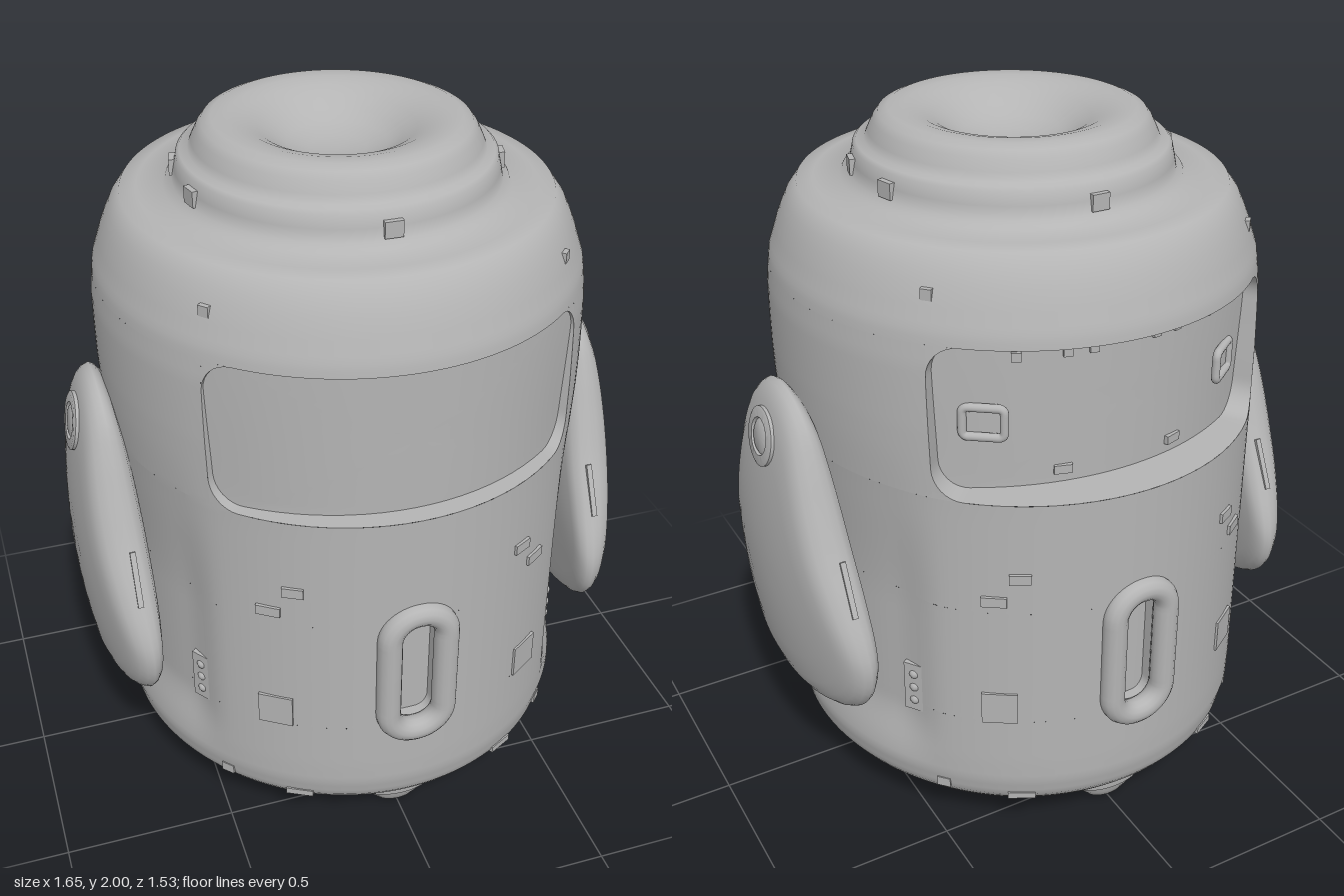
import * as THREE from 'three';
import { mergeGeometries, toCreasedNormals } from 'three/addons/utils/BufferGeometryUtils.js';

const { smoothstep, lerp } = THREE.MathUtils;
const PI = Math.PI;

// hull profile: [radius, height]
const PROFILE = [[0.65, 0.11], [0.69, 0.135], [0.715, 0.17], [0.728, 0.23], [0.73, 0.3], [0.73, 1.16],
  [0.722, 1.35], [0.71, 1.53], [0.698, 1.62], [0.67, 1.7], [0.64, 1.765], [0.607, 1.81]];
// shoulder, collar and dished lid: [radius, height]
const COLLAR = [[0.67, 1.7], [0.656, 1.733], [0.64, 1.765], [0.607, 1.81], [0.56, 1.816], [0.485, 1.82],
  [0.478, 1.83], [0.46, 1.836], [0.453, 1.87], [0.445, 1.905], [0.435, 1.914], [0.412, 1.918], [0.402, 1.94],
  [0.387, 1.97], [0.372, 1.989], [0.345, 2], [0.3, 1.998], [0.26, 1.988], [0.22, 1.97], [0.18, 1.944],
  [0.14, 1.922], [0.08, 1.905], [0, 1.9]];

function radius(t, y) {
  let i = 1;
  while (i < PROFILE.length - 1 && y > PROFILE[i][1]) i++;
  const [r0, y0] = PROFILE[i - 1], [r1, y1] = PROFILE[i];
  const r = lerp(r0, r1, (y - y0) / (y1 - y0));
  // gently hollowed flanks behind the side pods
  const flank = smoothstep(Math.abs(Math.sin(t)), 0.72, 0.86);
  return r - 0.035 * flank * smoothstep(y, 0.22, 0.42) * (1 - smoothstep(y, 0.75, 1.3));
}

// point on the hull; t = 0 faces the front
function skin(t, y, r = radius(t, y)) {
  const k = lerp(0.947, 0.98, smoothstep(y, 1.1, 1.6));
  return [r * Math.sin(t) * k, y, r * Math.cos(t)];
}

// quad grid from a point function of (column, row)
function grid(nu, nv, fn) {
  const pos = [], idx = [];
  for (let j = 0; j <= nv; j++) for (let i = 0; i <= nu; i++) pos.push(...fn(i, j));
  for (let j = 0; j < nv; j++) for (let i = 0; i < nu; i++) {
    const a = j * (nu + 1) + i, b = a + nu + 1;
    idx.push(a, a + 1, b + 1, a, b + 1, b);
  }
  const g = new THREE.BufferGeometry();
  g.setAttribute('position', new THREE.Float32BufferAttribute(pos, 3));
  g.setIndex(idx);
  return g;
}

// hull band between two heights and two angles
function band(y0, y1, t0 = 0, t1 = 2 * PI) {
  const nu = Math.ceil((t1 - t0) * 24), nv = Math.ceil((y1 - y0) / 0.02);
  return grid(nu, nv, (i, j) => skin(lerp(t0, t1, i / nu), lerp(y0, y1, j / nv)));
}

// recess with rounded corners filling a rectangular gap in a band; floor(s) is its radius, s = 0 middle, 1 side
function recess(tc, half, y0, y1, corner, floor) {
  const w = half * 0.7, h = (y1 - y0) / 2, yc = (y0 + y1) / 2, pts = [];
  const cx = w - corner, cy = h - corner;
  [[cx, -cy], [cx, cy], [-cx, cy], [-cx, -cy]].forEach(([x, y], q) => {
    for (let k = 0; k <= 8; k++) {
      const a = (q - 1 + k / 8) * PI / 2, c = Math.cos(a), s = Math.sin(a);
      const m = Math.max(Math.abs(c), Math.abs(s));
      pts.push([x + corner * c, y + corner * s, x + corner * c / m, y + corner * s / m]);
    }
    const [dx, dy] = [[0, 2 * cy], [-2 * cx, 0], [0, -2 * cy], [2 * cx, 0]][q];
    const p = pts[pts.length - 1];
    for (let k = 1; k < 20; k++) {
      const x2 = p[0] + dx * k / 20, y2 = p[1] + dy * k / 20;
      pts.push([x2, y2, x2, y2]);
    }
  });
  const n = pts.length;
  return grid(n, 10, (i, j) => {
    const p = pts[i % n], s = j < 3 ? 1 : 1 - (j - 2) / 8;
    const x = (j ? p[0] : p[2]) * s, y = (j ? p[1] : p[3]) * s + yc;
    return j < 2 ? skin(tc + x / 0.7, y) : skin(tc + x / 0.7, y, floor(x / w));
  });
}

// rounded rectangular ring of round bar
function ring(w, h, r, bar) {
  const s = new THREE.Shape();
  s.moveTo(w, 0).lineTo(w, h - r).absarc(w - r, h - r, r, 0, PI / 2).absarc(r - w, h - r, r, PI / 2, PI);
  s.absarc(r - w, r - h, r, PI, 1.5 * PI).absarc(w - r, r - h, r, 1.5 * PI, 2 * PI).lineTo(w, 0);
  const pts = s.getSpacedPoints(56).slice(0, -1).map(p => new THREE.Vector3(p.x, p.y, 0));
  return new THREE.TubeGeometry(new THREE.CatmullRomCurve3(pts, true), 112, bar, 14, true);
}

function lathe(points, seg) {
  const g = new THREE.LatheGeometry(points.map(p => new THREE.Vector2(...p)), seg);
  return toCreasedNormals(g, 0.7);
}

// side pod: teardrop outline in (z, y), domed outwards toward +x
function podGeometry() {
  const half = [[0, 1.33], [0.09, 1.31], [0.16, 1.255], [0.205, 1.17], [0.25, 1.06], [0.305, 0.93], [0.375, 0.79],
    [0.425, 0.68], [0.44, 0.61], [0.42, 0.52], [0.34, 0.44], [0.2, 0.388], [0, 0.37]];
  const loop = [...half, ...half.slice(1, -1).reverse().map(([z, y]) => [-z, y])];
  const curve = new THREE.CatmullRomCurve3(loop.map(([z, y]) => new THREE.Vector3(0, y, z)), true);
  const pts = curve.getSpacedPoints(96);
  // rows: outline scale and share of thickness, from inner face round the rim to outer face
  const rows = [[0, 0], [0.5, 0], [0.85, 0], [0.95, 0.08], [0.985, 0.25], [1, 0.45], [0.985, 0.68],
    [0.95, 0.86], [0.9, 0.95], [0.82, 1], [0.65, 1], [0.5, 1], [0.35, 1], [0.2, 1], [0, 1]];
  return toCreasedNormals(grid(96, rows.length - 1, (i, j) => {
    const [s, h] = rows[j], p = pts[i];
    const y = lerp(0.8, p.y, s), z = p.z * s, d = (y - 0.8) ** 2;
    return [lerp(0.65 - 0.04 * z * z + 0.14 * d, 0.825 - 0.45 * z * z - 0.24 * d, h), y, z];
  }), 1);
}

export function createModel() {
  const model = new THREE.Group();
  const grey = new THREE.MeshStandardMaterial({ color: 0xb4b4b4 });
  const add = (name, geo, parent = model) => {
    const m = new THREE.Mesh(geo, grey);
    m.name = name;
    parent.add(m);
    return m;
  };
  // fix a small part to the hull
  const fix = (name, geo, t, y, r) => {
    const m = add(name, geo);
    m.position.set(...skin(t, y, r));
    m.rotation.y = t;
  };

  // hull with windows, handle pits, shoulder and lid
  const WIN = 0.83, PIT = 0.09, parts = [band(0.11, 0.45), band(0.82, 1.16), band(1.59, 1.7)];
  const rearFloor = s => 0.6 + 0.07 * s * s;
  for (const [y0, y1, half] of [[0.45, 0.82, PIT], [1.16, 1.59, WIN]])
    for (const c of [0, PI]) parts.push(band(y0, y1, c + half, c + PI - half));
  for (const c of [0, PI]) parts.push(recess(c, PIT, 0.45, 0.82, 0.04, () => 0.67));
  parts.push(recess(0, WIN, 1.16, 1.59, 0.085, s => 0.67 + 0.032 * s * s));
  parts.push(recess(PI, WIN, 1.16, 1.59, 0.085, rearFloor));
  const cols = Math.ceil(2 * PI * 24);
  parts.push(grid(cols, COLLAR.length - 1, (i, j) => skin(i / cols * 2 * PI, COLLAR[j][1], COLLAR[j][0])));
  add('hull', toCreasedNormals(mergeGeometries(parts), 1.2));

  // flat underside
  const underside = add('underside', new THREE.CircleGeometry(0.65, 96));
  underside.rotation.x = PI / 2;
  underside.position.y = 0.11;
  underside.scale.x = 0.947;

  // collar lugs
  for (const a of [0, PI / 2 - 0.25, PI / 2 + 0.25, PI, 1.5 * PI - 0.25, 1.5 * PI + 0.25]) {
    const lug = add('collarLug', new THREE.BoxGeometry(0.05, 0.045, 0.024));
    lug.position.set(0.444 * Math.sin(a), 1.865, 0.452 * Math.cos(a));
    lug.rotation.y = a;
  }

  for (const c of [0, PI]) {
    fix('handle', ring(0.083, 0.21, 0.08, 0.036), c, 0.635, 0.727);

    // foot
    const foot = add('foot', lathe([[0, 0], [0.03, 0.004], [0.06, 0.02], [0.085, 0.045], [0.098, 0.07],
      [0.118, 0.075], [0.125, 0.1], [0.125, 0.125]], 32));
    foot.scale.z = 0.55;
    foot.position.z = c ? -0.583 : 0.583;

    for (const s of [-1, 1]) {
      // hull fittings
      fix('lowerLatch', new THREE.BoxGeometry(0.1, 0.1, 0.012), c + s * 0.58, 0.5);
      fix('upperLatch', new THREE.BoxGeometry(0.06, 0.03, 0.016), c + s * 0.5, 0.935);
      fix('middleLatch', new THREE.BoxGeometry(0.07, 0.03, 0.016), c + s * 0.6, 0.86);
      fix('shoulderStud', new THREE.BoxGeometry(0.03, 0.03, 0.016), c + s * 0.84, 1.71);
      fix('baseStud', new THREE.BoxGeometry(0.04, 0.03, 0.012), c + s * 0.82, 0.19);
      fix('baseClip', new THREE.BoxGeometry(0.08, 0.02, 0.012), c + s * 0.49, 0.17);

      // vent with three beads
      fix('vent', new THREE.BoxGeometry(0.06, 0.16, 0.016), c + s * 0.95, 0.5);
      for (let k = -1; k <= 1; k++)
        fix('ventBead', new THREE.SphereGeometry(0.016, 10, 8), c + s * 0.95, 0.5 + k * 0.045);
    }
  }

  // instruments inside the rear window
  for (const s of [-1, 1]) {
    fix('rearFrame', ring(0.055, 0.042, 0.015, 0.012), PI + s * 0.64, 1.36, rearFloor(0.64 / WIN) + 0.008);
    for (const a of [0.16, 0.28, 0.5])
      fix('rearStud', new THREE.BoxGeometry(0.025, 0.025, 0.02), PI + s * a, 1.54, rearFloor(a / WIN));
    fix('rearClip', new THREE.BoxGeometry(0.05, 0.025, 0.02), PI + s * 0.3, 1.2, rearFloor(0.3 / WIN));
  }

  // side pods with hub discs and rim slots
  for (const s of [-1, 1]) {
    const pod = new THREE.Group();
    pod.name = s > 0 ? 'leftPod' : 'rightPod';
    add('podShell', podGeometry(), pod);
    const hub = add('podHub', lathe([[0.085, -0.03], [0.085, 0.003], [0.077, 0.007], [0.054, 0.007],
      [0.05, 0], [0.042, 0.005], [0, 0.006]], 40), pod);
    hub.rotation.z = -PI / 2 + 0.18;
    hub.position.set(0.793, 1.18, 0);
    for (const z of [-1, 1]) {
      const slot = add('podSlot', new THREE.BoxGeometry(0.016, 0.16, 0.03), pod);
      slot.position.set(0.7, 0.84, z * 0.34);
      slot.rotation.x = -z * 0.45;
    }
    pod.rotation.y = s > 0 ? 0 : PI;
    model.add(pod);
  }
  return model;
}
